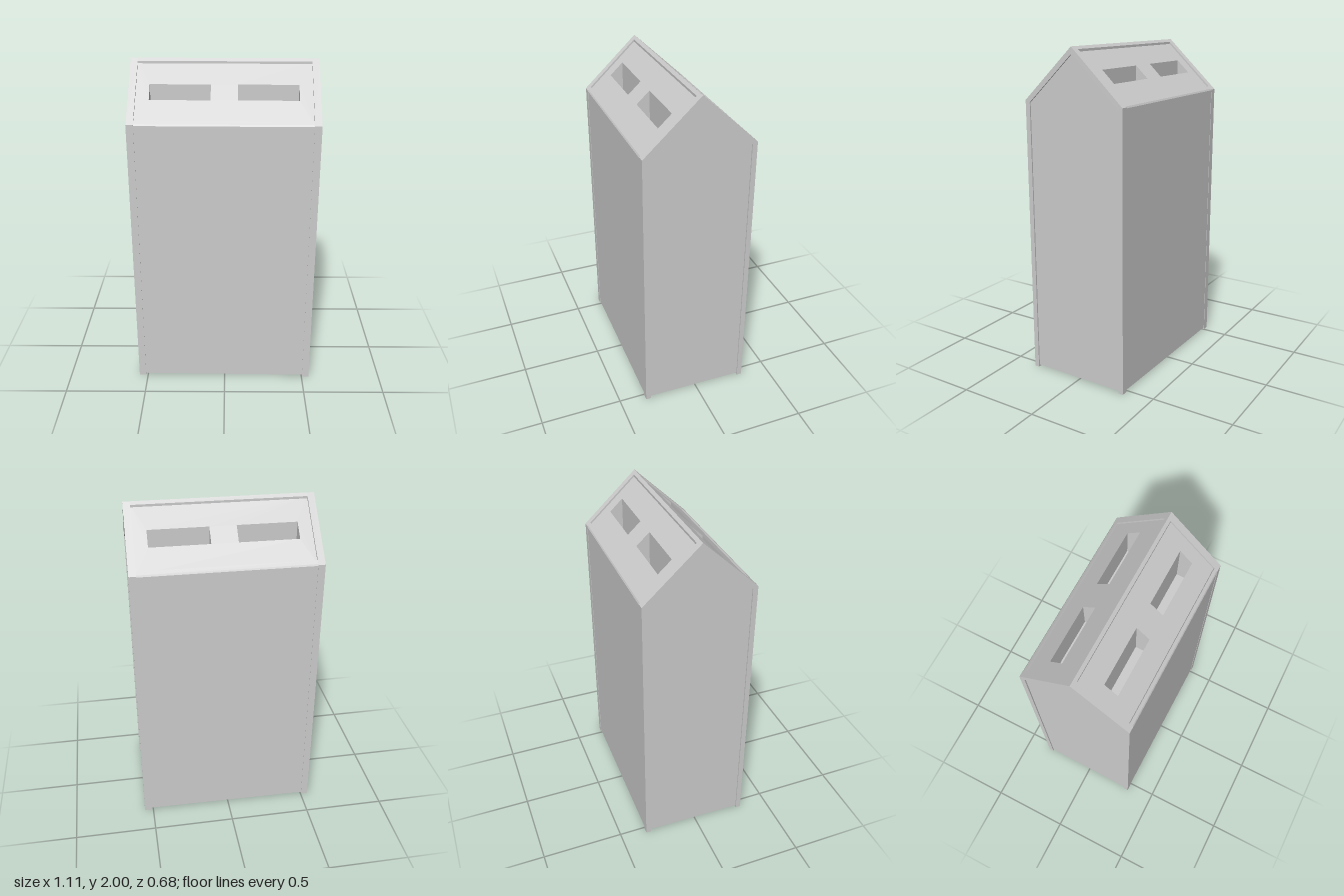
import * as THREE from 'three';

const W = 0.5505, D = 0.332, EAVE = 1.69, TOP = 2, POST = 0.042, BASE = 0.012;
const roofY = (z) => TOP - (TOP - EAVE) * Math.abs(z) / D;
const panelY = (z) => roofY(z) - 0.0137;

export function createModel() {
  const grey = new THREE.MeshStandardMaterial({ color: 0xcccccc });
  grey.name = 'light grey';
  const model = new THREE.Group();
  model.name = 'twinSlotBin';

  const add = (parent, name, geometry) => {
    const mesh = new THREE.Mesh(geometry, grey);
    mesh.name = name;
    parent.add(mesh);
    return mesh;
  };
  // Extrude a (z, y) profile along x
  const prism = (points, x0, x1) => {
    const shape = new THREE.Shape(points.map(([z, y]) => new THREE.Vector2(z, y)));
    const g = new THREE.ExtrudeGeometry(shape, { depth: x1 - x0, bevelEnabled: false });
    return g.rotateY(-Math.PI / 2).translate(x1, 0, 0);
  };
  const box = (w, h, d, x, y, z) => new THREE.BoxGeometry(w, h, d).translate(x, y, z);

  // Gabled end frames, whose posts reach the ground as feet, and recessed side panels
  const i = D - 0.03;
  const frame = [[-D, 0], [-i, 0], [-i, 1.677], [0, 1.959], [i, 1.677], [i, 0],
    [D, 0], [D, EAVE], [0, TOP], [-D, EAVE]];
  const side = [[-i, BASE], [i, BASE], [i, 1.677], [0, 1.959], [-i, 1.677]];
  for (const s of [-1, 1]) {
    const label = s > 0 ? 'left' : 'right';
    const end = (a, b) => (s > 0 ? [a, b] : [-b, -a]);
    add(model, label + 'EndFrame', prism(frame, ...end(W - POST, W)));
    add(model, label + 'SidePanel', prism(side, ...end(W - 0.02, W - 0.008)));
  }

  // Ridge cap and floor
  const inner = W - POST;
  const r = 0.017;
  add(model, 'ridgeCap', prism([[-r, roofY(r) - 0.025], [r, roofY(r) - 0.025],
    [r, roofY(r)], [0, TOP], [-r, roofY(r)]], -inner, inner));
  add(model, 'floor', box(2 * W - 0.02, 0.01, 2 * D - 0.01, 0, BASE + 0.005, 0));

  // Front and back halves
  for (const turn of [0, Math.PI]) {
    const half = new THREE.Group();
    half.name = turn ? 'backHalf' : 'frontHalf';
    half.rotation.y = turn;
    model.add(half);

    add(half, 'wallPanel', box(2 * inner, 1.68 - BASE, 0.012, 0, (1.68 + BASE) / 2, D - 0.0085));
    add(half, 'eaveRail', prism([[0.3, 1.675], [D, 1.675], [D, 1.685], [0.327, roofY(0.327)],
      [0.31, roofY(0.31)], [0.3, 1.69]], -inner, inner));

    // Sloping roof panel with two slots
    const rect = (C, x0, x1, z0, z1) => new C([[x0, -z1], [x1, -z1], [x1, -z0], [x0, -z0]]
      .map(([x, y]) => new THREE.Vector2(x, y)));
    const panel = rect(THREE.Shape, -inner, inner, 0.005, 0.315);
    const slots = [[-0.43, -0.078], [0.078, 0.43]];
    const z0 = 0.122, z1 = 0.2, pocketFloor = 1.6;
    for (const [a, b] of slots) panel.holes.push(rect(THREE.Path, a, b, z0, z1));
    const roof = new THREE.ShapeGeometry(panel).rotateX(-Math.PI / 2);
    const rp = roof.attributes.position;
    for (let k = 0; k < rp.count; k++) rp.setY(k, panelY(rp.getZ(k)));
    roof.computeVertexNormals();
    add(half, 'roofPanel', roof);

    // Open-topped slot pockets facing inward, trimmed to the slope
    for (const [a, b] of slots) {
      const g = new THREE.BoxGeometry(b - a, 1, z1 - z0);
      const index = Array.from(g.index.array);
      index.splice(12, 6);
      g.setIndex(index);
      g.scale(-1, 1, 1).translate((a + b) / 2, 0, (z0 + z1) / 2);
      const p = g.attributes.position;
      for (let k = 0; k < p.count; k++) p.setY(k, p.getY(k) > 0 ? panelY(p.getZ(k)) : pocketFloor);
      g.computeVertexNormals();
      add(half, 'slotPocket', g);
    }
  }

  // Slight turn of the whole bin
  model.rotation.y = -0.0136;
  const root = new THREE.Group();
  root.name = 'bin';
  root.add(model);
  return root;
}
